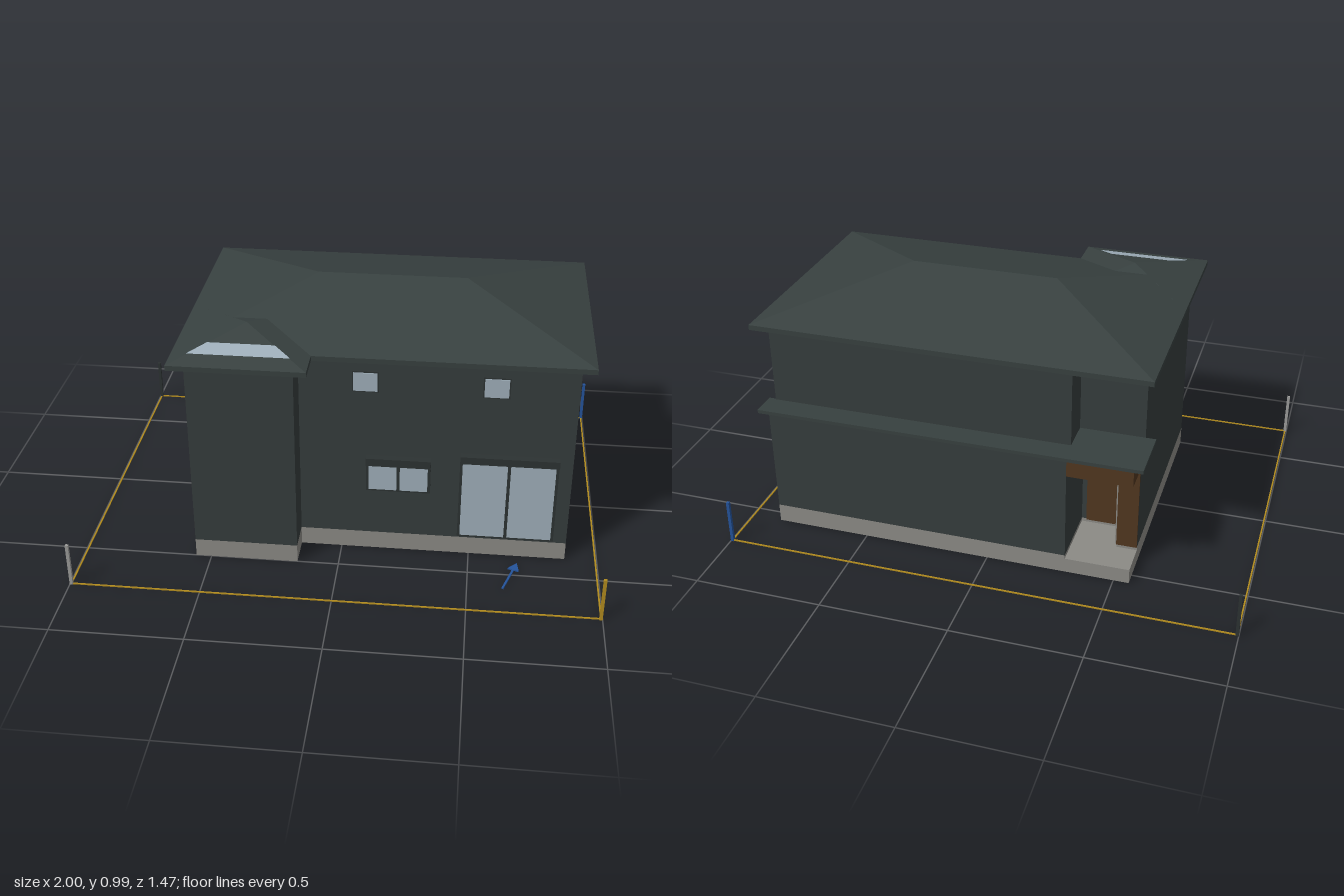
import * as THREE from 'three';

const mat = (name, color, side = THREE.FrontSide) => {
  const m = new THREE.MeshStandardMaterial({ color, side });
  m.name = name;
  return m;
};

export function createModel() {
  const M = {
    wall: mat('wall charcoal', 0x353c3c),
    roof: mat('roof slate', 0x37403f),
    trim: mat('dark trim', 0x2c3232),
    concrete: mat('concrete', 0x8b8a85),
    glass: mat('pale glass', 0x9fafba, THREE.DoubleSide),
    wood: mat('brown wood', 0x50361f),
    floor: mat('underfloor brown', 0x2a1d17),
    gold: mat('gold', 0xb08a1e),
    blue: mat('blue', 0x24539a),
    grey: mat('post grey', 0x9a9a98),
  };
  const house = new THREE.Group();
  house.name = 'house';

  const add = (name, geo, material) => {
    const mesh = new THREE.Mesh(geo, material);
    mesh.name = name;
    house.add(mesh);
    return mesh;
  };
  // box given by its two opposite corners
  const box = (name, material, x0, x1, y0, y1, z0, z1) => {
    const geo = new THREE.BoxGeometry(x1 - x0, y1 - y0, z1 - z0);
    geo.translate((x0 + x1) / 2, (y0 + y1) / 2, (z0 + z1) / 2);
    return add(name, geo, material);
  };
  // upright prism over a floor plan of [x, z] points
  const plan = (name, material, pts, y0, y1, hole) => {
    const v = (list) => list.map(([x, z]) => new THREE.Vector2(x, -z));
    const shape = new THREE.Shape(v(pts));
    if (hole) shape.holes.push(new THREE.Path(v(hole)));
    const geo = new THREE.ExtrudeGeometry(shape, { depth: y1 - y0, bevelEnabled: false });
    geo.rotateX(-Math.PI / 2);
    geo.translate(0, y0, 0);
    return add(name, geo, material);
  };
  // flat faces from corner loops
  const faces = (name, material, loops) => {
    const pos = [];
    for (const p of loops)
      for (let i = 1; i < p.length - 1; i++) pos.push(...p[0], ...p[i], ...p[i + 1]);
    const geo = new THREE.BufferGeometry();
    geo.setAttribute('position', new THREE.Float32BufferAttribute(pos, 3));
    geo.computeVertexNormals();
    return add(name, geo, material);
  };

  // floor plans: front bay on the model's right, porch cut into the back corner
  const front = [[-0.56, 0.5], [-0.16, 0.5], [-0.16, 0.375], [0.875, 0.375]];
  const lower = [...front, [0.875, -0.55], [-0.31, -0.55], [-0.31, -0.29],
    [-0.48, -0.29], [-0.48, -0.42], [-0.56, -0.42]];
  const upper = [...front, [0.875, -0.485], [-0.31, -0.485], [-0.31, -0.355], [-0.56, -0.355]];
  const inner = [[-0.515, 0.455], [-0.205, 0.455], [-0.205, 0.33], [0.83, 0.33],
    [0.83, -0.505], [-0.265, -0.505], [-0.265, -0.245], [-0.515, -0.245]];

  plan('foundation', M.concrete, lower, 0, 0.075, inner);
  plan('underfloor', M.floor, inner, 0.055, 0.074);
  plan('lowerWalls', M.wall, lower, 0.075, 0.515);
  plan('upperWalls', M.wall, upper, 0.515, 0.85);

  // porch
  box('porchSlab', M.concrete, -0.56, -0.25, 0, 0.06, -0.55, -0.15);
  box('porchPierFace', M.wood, -0.56, -0.48, 0.075, 0.51, -0.426, -0.42);
  box('porchPierLining', M.concrete, -0.48, -0.474, 0.075, 0.42, -0.42, -0.29);
  box('frontDoor', M.wood, -0.47, -0.33, 0.075, 0.42, -0.298, -0.29);
  box('porchBeamBack', M.wood, -0.56, -0.31, 0.43, 0.51, -0.55, -0.53);
  box('porchBeamSide', M.wood, -0.56, -0.54, 0.43, 0.51, -0.53, -0.426);
  box('porchCeiling', M.wood, -0.54, -0.31, 0.5, 0.51, -0.53, -0.29);

  // canopy along the back, wider over the porch
  plan('canopy', M.roof, [[-0.6, -0.355], [-0.31, -0.355], [-0.31, -0.48], [0.905, -0.48],
    [0.905, -0.58], [-0.6, -0.58]], 0.511, 0.525);

  // hipped roofs with a thin eave
  const EAVE = 0.865;
  const hip = (name, x0, x1, z0, z1, rx0, rx1, ry) => {
    const zc = (z0 + z1) / 2;
    const a = [x0, EAVE, z1], b = [x1, EAVE, z1], c = [x1, EAVE, z0], d = [x0, EAVE, z0];
    const l = [rx0, ry, zc], r = [rx1, ry, zc];
    const loops = rx0 === rx1
      ? [[a, b, l], [b, c, l], [c, d, l], [d, a, l]]
      : [[a, b, r, l], [b, c, r], [c, d, l, r], [d, a, l]];
    faces(name, M.roof, loops);
  };
  plan('eaves', M.roof, [[-0.615, 0.55], [-0.105, 0.55], [-0.105, 0.42], [0.925, 0.42],
    [0.925, -0.54], [-0.615, -0.54]], 0.845, EAVE);
  hip('mainRoof', -0.615, 0.925, -0.54, 0.42, -0.135, 0.445, 0.985);
  hip('bayRoof', -0.615, -0.105, 0.04, 0.55, -0.36, -0.36, 0.929);
  faces('bayRoofPanel', M.glass, [[[-0.55, 0.885, 0.485], [-0.17, 0.885, 0.485],
    [-0.235, 0.901, 0.42], [-0.485, 0.901, 0.42]]]);

  // front windows: dark frame, panes and shutter box
  const Z = 0.375;
  const slider = (name, x0, x1, y0, y1, box0) => {
    const mid = (x0 + x1) / 2;
    box(name + 'Frame', M.trim, x0, x1, y0, box0, Z, Z + 0.008);
    box(name + 'ShutterBox', M.trim, x0, x1, box0, y1, Z, Z + 0.03);
    box(name + 'LeftPane', M.glass, mid + 0.006, x1 - 0.011, y0 + 0.008, box0 - 0.011, Z, Z + 0.011);
    box(name + 'RightPane', M.glass, x0 + 0.01, mid - 0.006, y0 + 0.008, box0 - 0.004, Z, Z + 0.011);
  };
  slider('kitchenWindow', 0.095, 0.342, 0.274, 0.43, 0.398);
  slider('patioDoor', 0.452, 0.824, 0.085, 0.46, 0.43);
  for (const x of [0.09, 0.573]) {
    box('upperWindowFrame', M.trim, x - 0.05, x + 0.05, 0.705, 0.79, Z, Z + 0.004);
    box('upperWindow', M.glass, x - 0.045, x + 0.045, 0.71, 0.785, Z, Z + 0.008);
  }

  // side windows
  box('sideWindowFrame', M.trim, 0.875, 0.879, 0.25, 0.36, -0.375, -0.332);
  box('sideWindow', M.glass, 0.875, 0.882, 0.255, 0.355, -0.37, -0.337);
  for (const z of [-0.186, 0.23]) {
    box('bedroomWindowFrame', M.trim, -0.564, -0.56, 0.7, 0.79, z - 0.045, z + 0.045);
    box('bedroomWindow', M.glass, -0.567, -0.56, 0.706, 0.784, z - 0.038, z + 0.038);
  }

  // plot boundary: corner posts and cord on the ground
  const px = 0.994, pz = 0.73;
  for (const [sx, sz, m] of [[1, 1, M.gold], [1, -1, M.blue], [-1, 1, M.grey], [-1, -1, M.trim]])
    box('cornerPost', m, sx * px - 0.006, sx * px + 0.006, 0, 0.18, sz * pz - 0.006, sz * pz + 0.006);
  for (const s of [-1, 1]) {
    box('boundaryCord', M.gold, -px, px, 0, 0.004, s * pz - 0.003, s * pz + 0.003);
    box('boundaryCord', M.gold, s * px - 0.003, s * px + 0.003, 0, 0.004, -pz, pz);
  }

  // flat ground arrow pointing at the house
  const arrow = plan('groundArrow', M.blue, [[-0.004, 0], [0.004, 0], [0.004, -0.125],
    [0.023, -0.125], [0, -0.17], [-0.023, -0.125], [-0.004, -0.125]], 0, 0.006);
  arrow.position.set(0.635, 0, 0.59);
  arrow.rotation.y = -0.33;

  return house;
}
